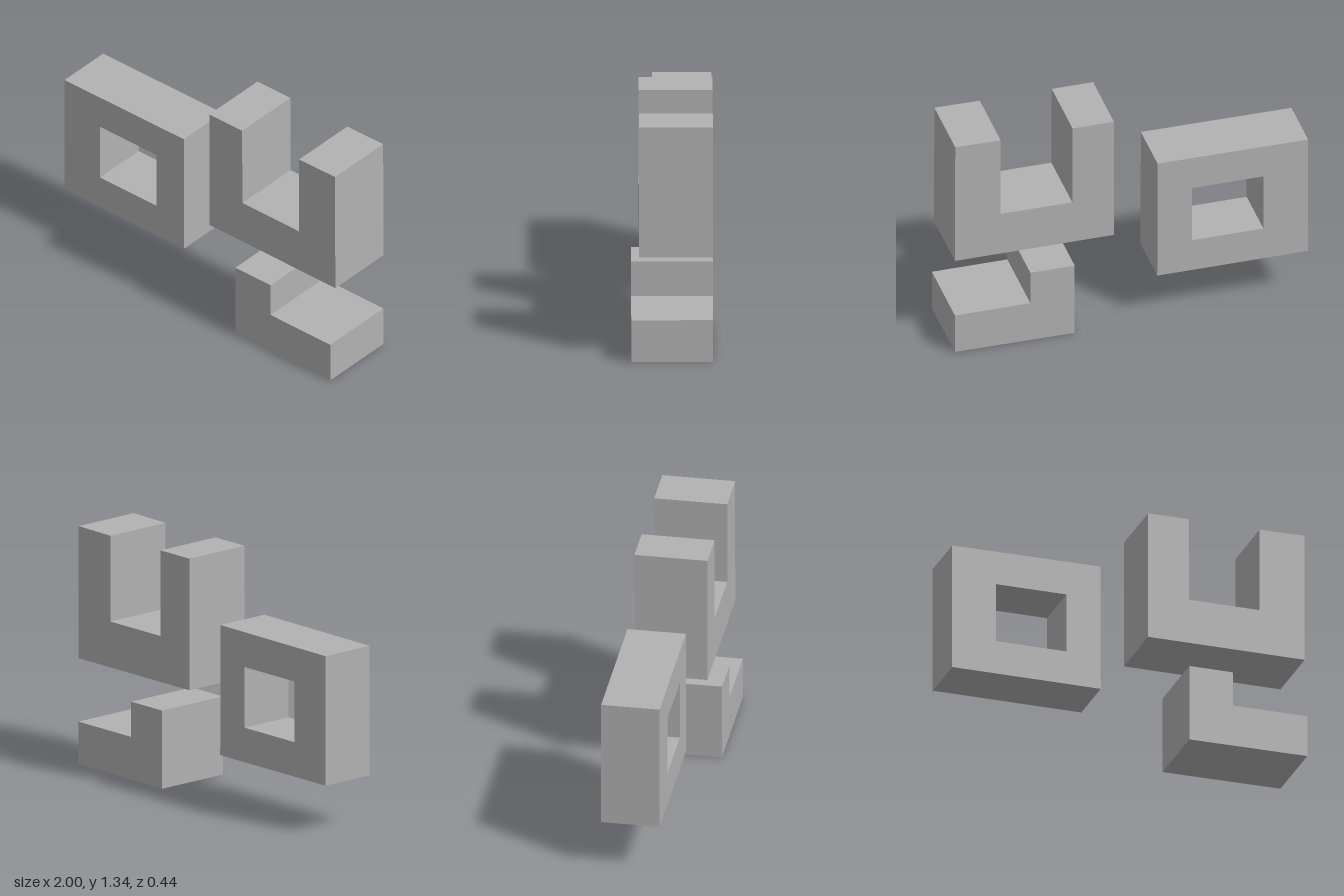
import * as THREE from 'three';

// Extrudes an outline (with optional holes) between two z planes
function block(name, outline, holes, back, front, material) {
  const toPoints = (pts) => pts.map(([x, y]) => new THREE.Vector2(x, y));
  const shape = new THREE.Shape(toPoints(outline));
  for (const hole of holes) shape.holes.push(new THREE.Path(toPoints(hole)));
  const geometry = new THREE.ExtrudeGeometry(shape, { depth: front - back, bevelEnabled: false });
  geometry.translate(0, 0, back);
  const mesh = new THREE.Mesh(geometry, material);
  mesh.name = name;
  return mesh;
}

export function createModel() {
  const model = new THREE.Group();
  model.name = 'threeBlocks';
  const grey = new THREE.MeshStandardMaterial({ color: 0xb2b2b2 });
  grey.name = 'lightGrey';

  // Rectangular block with a window through it
  model.add(block('windowBlock',
    [[-1, 0.283], [-0.146, 0.283], [-0.148, 1.015], [-1, 1.011]],
    [[[-0.747, 0.477], [-0.747, 0.818], [-0.343, 0.818], [-0.343, 0.477]]],
    -0.218, 0.104, grey));

  // U-shaped block
  model.add(block('uBlock',
    [[0.1, 0.599], [1, 0.599], [0.998, 1.342], [0.741, 1.339], [0.741, 0.857],
      [0.336, 0.857], [0.334, 1.339], [0.1, 1.339]],
    [], -0.222, 0.18, grey));

  // L-shaped block
  model.add(block('lBlock',
    [[0.322, 0], [1, 0.004], [1, 0.242], [0.573, 0.242], [0.573, 0.44], [0.322, 0.44]],
    [], -0.222, 0.222, grey));

  return model;
}
